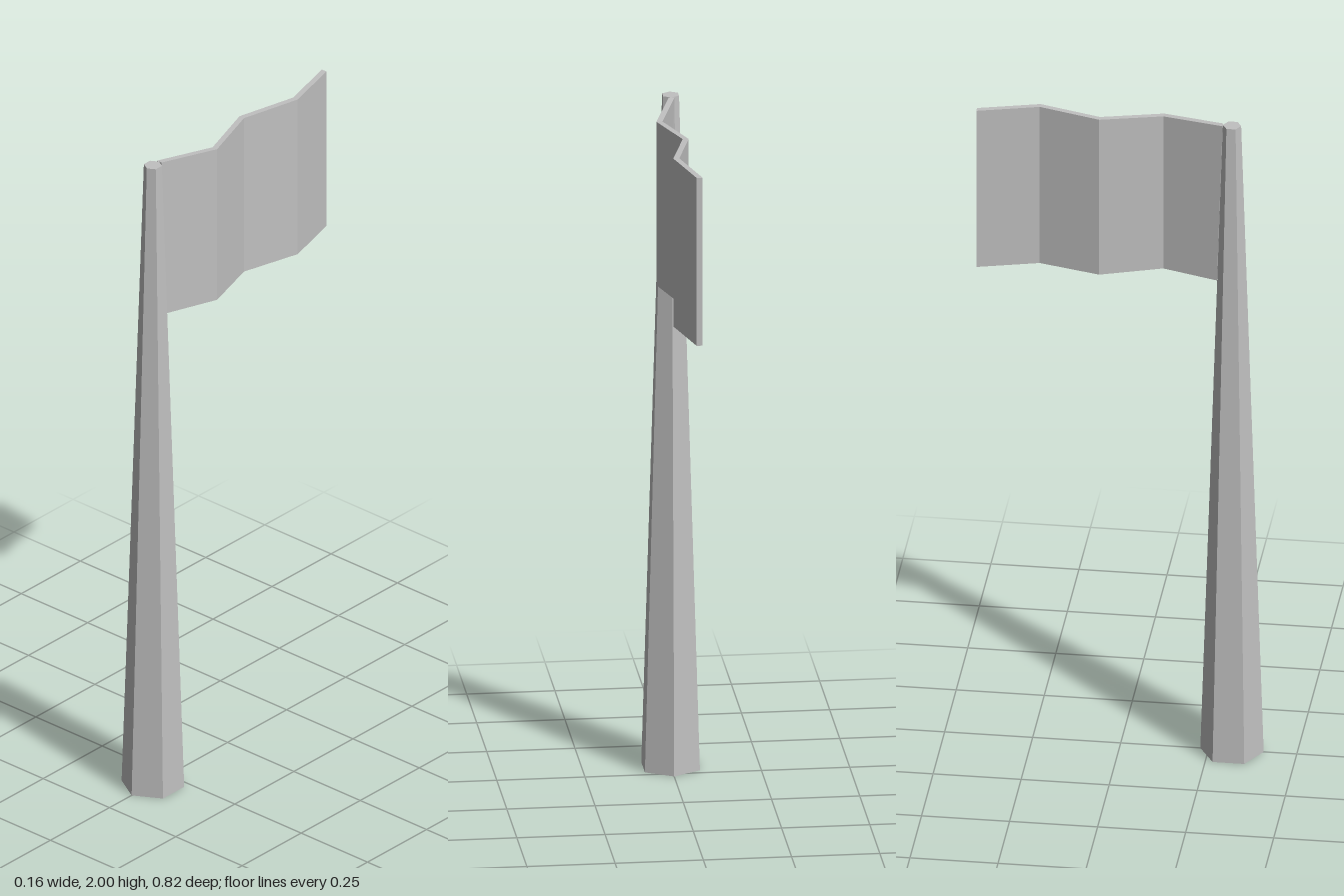
import * as THREE from 'three';

const POLE_Z = 0.316;
const POLE_TOP = 0.026;
const POLE_BASE = 0.09;

// Folded cloth: one four-cornered section per fold, joined into a thin closed strip
function flagGeometry() {
  const half = 0.0085;
  // x, z at top, z at bottom, bottom y, top y
  const folds = [
    [0, 0.29, 0.274, 1.505, 2],
    [0.0545, 0.115, 0.115, 1.503, 1.99],
    [0, -0.06, -0.06, 1.5, 1.996],
    [0.0465, -0.235, -0.235, 1.5, 2],
    [0, -0.409, -0.409, 1.5, 2],
  ];
  const rings = folds.map(([x, zt, zb, yb, yt]) => [
    [x + half, yb, zb], [x + half, yt, zt], [x - half, yt, zt], [x - half, yb, zb],
  ]);
  const pos = [];
  const quad = (a, b, c, d) => pos.push(...a, ...b, ...c, ...a, ...c, ...d);
  for (let i = 0; i < rings.length - 1; i++) {
    for (let k = 0; k < 4; k++) {
      const n = (k + 1) % 4;
      quad(rings[i][k], rings[i + 1][k], rings[i + 1][n], rings[i][n]);
    }
  }
  const [first, last] = [rings[0], rings[rings.length - 1]];
  quad(first[3], first[0], first[1], first[2]);
  quad(last[0], last[3], last[2], last[1]);
  const geo = new THREE.BufferGeometry();
  geo.setAttribute('position', new THREE.Float32BufferAttribute(pos, 3));
  geo.computeVertexNormals();
  return geo;
}

export function createModel() {
  const group = new THREE.Group();
  group.name = 'flagpole';
  const grey = new THREE.MeshStandardMaterial({
    color: 0xc0c0c0, flatShading: true, side: THREE.DoubleSide,
  });
  grey.name = 'light grey';

  const add = (name, geo) => {
    const mesh = new THREE.Mesh(geo, grey);
    mesh.name = name;
    group.add(mesh);
    return mesh;
  };

  // Tapered six-sided pole, open at the foot
  add('pole', new THREE.CylinderGeometry(POLE_TOP, POLE_BASE, 2, 6, 1, true))
    .position.set(0, 1, POLE_Z);

  // Lid on the pole's tip
  add('poleCap', new THREE.CircleGeometry(POLE_TOP, 6, Math.PI / 6).rotateX(-Math.PI / 2))
    .position.set(0, 2, POLE_Z);

  // Zigzag flag streaming backwards
  add('flag', flagGeometry());

  return group;
}
